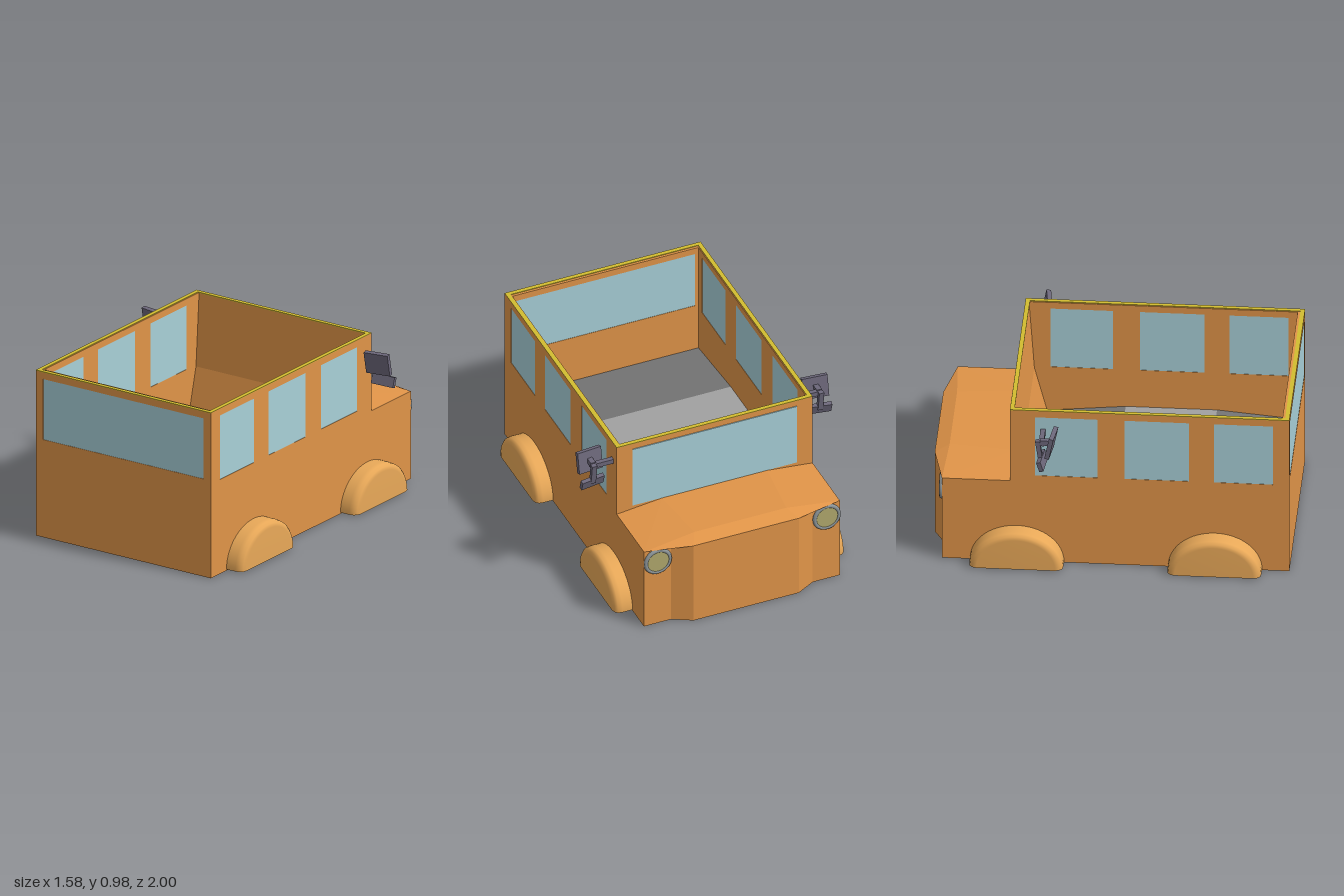
import * as THREE from 'three';
import { ConvexGeometry } from 'three/addons/geometries/ConvexGeometry.js';

const mat = (color, extra = {}) => {
  const m = new THREE.MeshStandardMaterial({ color, ...extra });
  return m;
};
const orange = mat(0xe09448);
const fender = mat(0xe8a858, { side: THREE.DoubleSide });
const glass = mat(0xa8d0d8);
const yellow = mat(0xd2bc30);
const metal = mat(0x6c677a);
const rimGrey = mat(0x8d9598);
const lens = mat(0xb0a86c);
const floorLight = mat(0xa0a0a0);
const floorDark = mat(0x747474);

const W = 0.595, TOP = 0.98, BACK = -0.56, T = 0.03;

function add(parent, name, geometry, material, x = 0, y = 0, z = 0) {
  const mesh = new THREE.Mesh(geometry, material);
  mesh.name = name;
  mesh.position.set(x, y, z);
  parent.add(mesh);
  return mesh;
}
const box = (w, h, d) => new THREE.BoxGeometry(w, h, d);
const rect = (Kind, a0, b0, a1, b1) => new Kind(
  [[a0, b0], [a1, b0], [a1, b1], [a0, b1]].map(p => new THREE.Vector2(...p)));
const extrude = (shape, depth) => new THREE.ExtrudeGeometry(shape, { depth, bevelEnabled: false });

// Profile drawn in (z, y), extruded along x and centred on x = 0
function acrossX(shape, width) {
  return extrude(shape, width).translate(0, 0, -width / 2).rotateY(-Math.PI / 2);
}

function buildCabin(g) {
  // Side walls pierced by three windows each
  const windows = [[0.58, 0.91], [0.08, 0.44], [-0.42, -0.07]];
  for (const s of [1, -1]) {
    const shape = rect(THREE.Shape, BACK, 0, 1, TOP);
    for (const [a, b] of windows) shape.holes.push(rect(THREE.Path, a, 0.56, b, 0.94));
    add(g, 'sideWall', acrossX(shape, T), orange, s * (W - T / 2));
    for (const [a, b] of windows)
      add(g, 'sideWindow', box(T - 0.004, 0.38, b - a), glass, s * (W - T / 2), 0.75, (a + b) / 2);
  }
  // Front wall with its wide window
  const front = rect(THREE.Shape, -W + T, 0, W - T, TOP);
  front.holes.push(rect(THREE.Path, -0.545, 0.58, 0.545, 0.94));
  add(g, 'frontWall', extrude(front, 0.04), orange, 0, 0, 0.96);
  add(g, 'frontWindow', box(1.09, 0.36, 0.036), glass, 0, 0.76, 0.98);

  // Hood-end wall, sloping inwards towards the floor
  const wall = new THREE.Shape([[BACK, 0], [-0.42, 0], [-0.44, 0.28], [-0.51, 0.55], [-0.54, TOP], [BACK, TOP]]
    .map(p => new THREE.Vector2(...p)));
  add(g, 'hoodEndWall', acrossX(wall, 2 * (W - T)), orange);
  add(g, 'windshield', box(1.0, 0.39, 0.01), glass, 0, 0.75, BACK);

  // Underside and the raised three-panel floor
  add(g, 'underside', box(2 * (W - T), 0.03, 1.5), orange, 0, 0.015, 0.22);
  const panels = [[-0.5, 0.27, 0, 0.32, floorDark], [0, 0.32, 0.51, 0.32, floorLight],
    [0.51, 0.32, 0.965, 0.28, floorDark]];
  for (const [z0, y0, z1, y1, m] of panels) {
    const s = new THREE.Shape([[z0, y0 - 0.03], [z1, y1 - 0.03], [z1, y1], [z0, y0]]
      .map(p => new THREE.Vector2(...p)));
    add(g, 'floorPanel', acrossX(s, 2 * (W - T)), m);
  }

  // Thin yellow rim around the open top
  const rim = rect(THREE.Shape, -W, -1, W, -BACK);
  rim.holes.push(rect(THREE.Path, -W + 0.025, -0.975, W - 0.025, -BACK - 0.025));
  add(g, 'topRim', extrude(rim, 0.006).rotateX(-Math.PI / 2), yellow, 0, TOP - 0.002);
}

function buildHood(g) {
  // Chamfered nose block
  const outline = [[-W, 0.55], [W, 0.55], [W, 0.94], [0.43, 0.94], [0.32, 1], [-0.32, 1], [-0.43, 0.94], [-W, 0.94]];
  const shape = new THREE.Shape(outline.map(p => new THREE.Vector2(...p)));
  add(g, 'nose', extrude(shape, 0.52).rotateX(-Math.PI / 2), orange);

  // Slightly crowned hood lid
  const pts = [];
  for (const s of [1, -1])
    for (const [x, y, z] of [[0.32, 0.55, BACK], [0.28, 0.55, -0.92], [W, 0.519, BACK], [W, 0.519, -0.94],
      [0.43, 0.519, -0.94], [0.32, 0.519, -1], [0.32, 0.5, BACK], [0.28, 0.5, -0.92]])
      pts.push(new THREE.Vector3(s * x, y, z));
  add(g, 'hoodLid', new ConvexGeometry(pts), orange);

  // Headlights
  for (const s of [1, -1]) {
    const lamp = new THREE.Group();
    lamp.name = 'headlight';
    lamp.position.set(s * 0.513, 0.435, -0.945);
    add(lamp, 'headlightRim', new THREE.TorusGeometry(0.073, 0.012, 8, 32), rimGrey);
    add(lamp, 'headlightLens', new THREE.CylinderGeometry(0.072, 0.072, 0.016, 32).rotateX(Math.PI / 2), lens);
    g.add(lamp);
  }
}

// Hollow half-round wheel covers, open underneath
function buildWheelCovers(g) {
  const profile = [[0.262, 0], [0.262, 0.06], [0.258, 0.085], [0.243, 0.1], [0.22, 0.107], [0, 0.107]]
    .map(p => new THREE.Vector2(...p));
  for (const s of [1, -1])
    for (const z of [0.586, -0.52]) {
      const geo = new THREE.LatheGeometry(profile, 32, s > 0 ? Math.PI : 0, Math.PI)
        .rotateZ(-s * Math.PI / 2).scale(1, 0.222 / 0.262, 1);
      add(g, 'wheelCover', geo, fender, s * W, 0.007, z);
    }
}

// Mirror cluster: arm, tilted main plate, lower plate on a stem
function buildMirror(s, y, z) {
  const g = new THREE.Group();
  g.name = 'mirror';
  g.position.set(s * W, y, z);
  add(g, 'mirrorArm', box(0.14, 0.028, 0.028), metal, s * 0.065, 0, 0);
  add(g, 'mirrorMount', box(0.03, 0.03, 0.07), metal, s * 0.12, 0.005, 0.03);
  const plate = add(g, 'mainPlate', box(0.15, 0.13, 0.026), metal, s * 0.119, 0, 0.055);
  plate.rotation.set(0.2, s * 0.12, 0);
  const stem = add(g, 'mirrorStem', box(0.03, 0.13, 0.025), metal, s * 0.123, -0.05, -0.012);
  stem.rotation.x = -0.15;
  const lower = add(g, 'lowerPlate', box(0.14, 0.06, 0.024), metal, s * 0.123, -0.115, 0.004);
  lower.rotation.set(-0.3, s * 0.12, 0);
  return g;
}

export function createModel() {
  const model = new THREE.Group();
  model.name = 'openTopVan';
  buildCabin(model);
  buildHood(model);
  buildWheelCovers(model);
  model.add(buildMirror(1, 0.86, -0.505), buildMirror(-1, 0.85, -0.375));
  return model;
}
